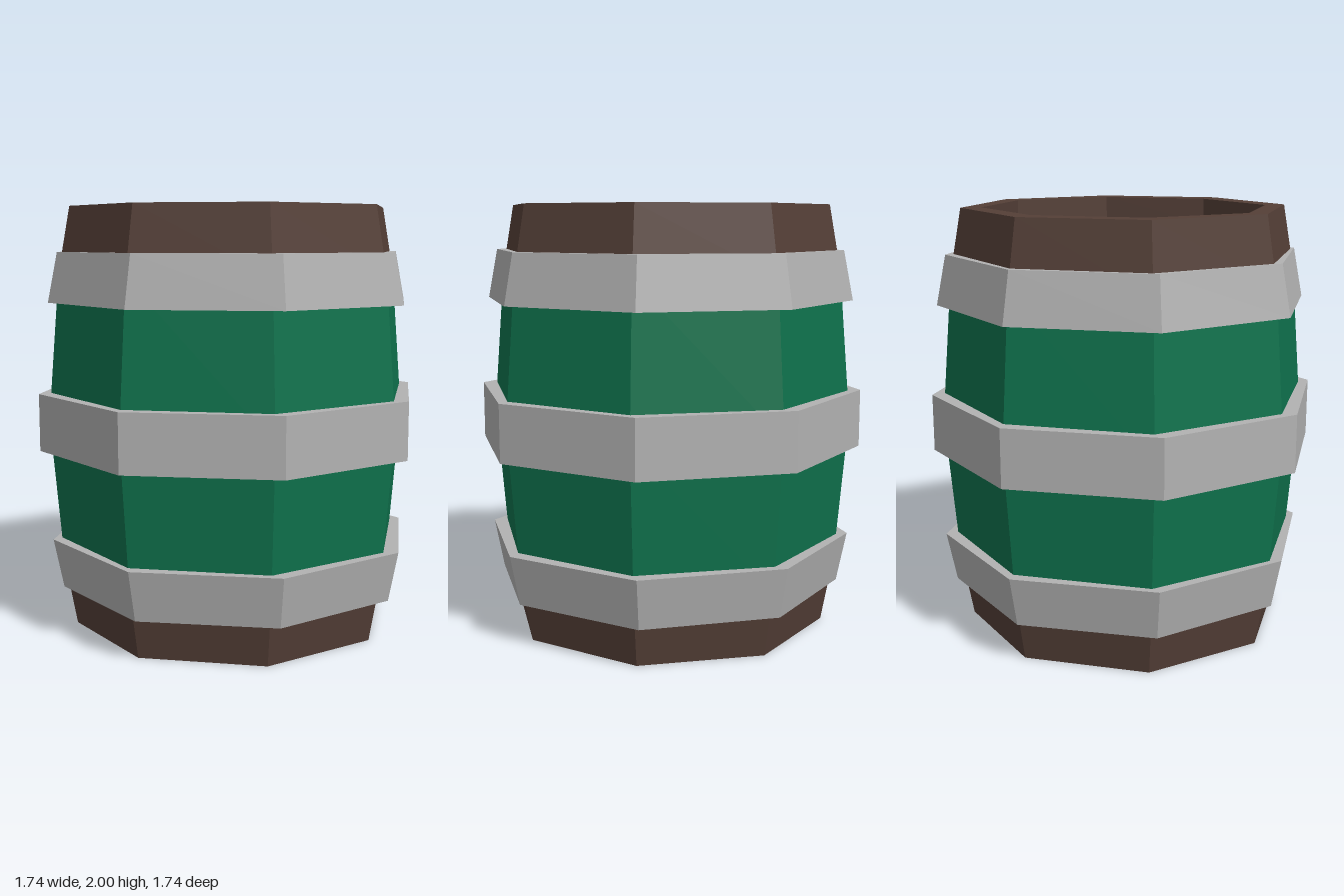
import * as THREE from 'three';

const mat = (name, color) => {
  const m = new THREE.MeshStandardMaterial({ color });
  m.name = name;
  return m;
};
const SIDES = 8;
const COS = Math.cos(Math.PI / SIDES);
const BODY_TURN = THREE.MathUtils.degToRad(0.5);
const BAND_TURN = THREE.MathUtils.degToRad(2.5);

// Faceted eight-sided turning; profile is [distance to flat side, height]
function turned(name, material, profile, turn) {
  const pts = profile.map(([a, y]) => new THREE.Vector2(a / COS, y));
  const geo = new THREE.LatheGeometry(pts, SIDES, Math.PI / SIDES + turn, Math.PI * 2).toNonIndexed();
  geo.computeVertexNormals();
  const mesh = new THREE.Mesh(geo, material);
  mesh.name = name;
  return mesh;
}

// Octagon corners in plan, as (x, -z)
function corners(apothem, turn, zScale = 1, zShift = 0) {
  return Array.from({ length: SIDES }, (_, i) => {
    const a = Math.PI / SIDES + turn + (i * Math.PI * 2) / SIDES;
    const r = apothem / COS;
    return new THREE.Vector2(r * Math.sin(a), -(r * Math.cos(a) * zScale + zShift));
  });
}

export function createModel() {
  const wood = mat('dark brown wood', 0x543f37);
  const paint = mat('green paint', 0x0f724d);
  const metal = mat('grey metal', 0xb2b2b2);
  const group = new THREE.Group();
  group.name = 'barrel';

  // Staves: brown ends and a green bulging middle
  group.add(
    turned('lowerStaves', wood, [[0, 0], [0.705, 0], [0.757, 0.31]], BODY_TURN),
    turned('middleStaves', paint, [[0.757, 0.31], [0.81, 1], [0.757, 1.69]], BODY_TURN),
    turned('upperStaves', wood, [[0.757, 1.69], [0.705, 2]], BODY_TURN)
  );

  // Flat rim around the lid recess
  const rimShape = new THREE.Shape(corners(0.705, BODY_TURN));
  rimShape.holes.push(new THREE.Path(corners(0.62, 0, 0.952, -0.005)));
  const rim = new THREE.Mesh(new THREE.ShapeGeometry(rimShape).rotateX(-Math.PI / 2).translate(0, 2, 0), wood);
  rim.name = 'rim';
  group.add(rim);

  // Recess wall and sunken lid
  const lid = turned('lid', wood, [[0.62, 2], [0.62, 1.875], [0, 1.875]], 0);
  lid.geometry.scale(1, 1, 0.952).translate(0, 0, -0.005);
  group.add(lid);

  // Metal hoops: [name, bottom, top, bottom size, top size, x shift, z shift]
  const hoops = [
    ['lowerHoop', 0.195, 0.43, 0.772, 0.815, 0.007, 0.005],
    ['middleHoop', 0.862, 1.132, 0.855, 0.855, 0, 0],
    ['upperHoop', 1.557, 1.79, 0.815, 0.772, 0.007, 0.005]
  ];
  for (const [name, y0, y1, a0, a1, x, z] of hoops) {
    const hoop = turned(name, metal, [[0.7, y0], [a0, y0], [a1, y1], [0.7, y1]], BAND_TURN);
    hoop.position.set(x, 0, z);
    group.add(hoop);
  }
  return group;
}
